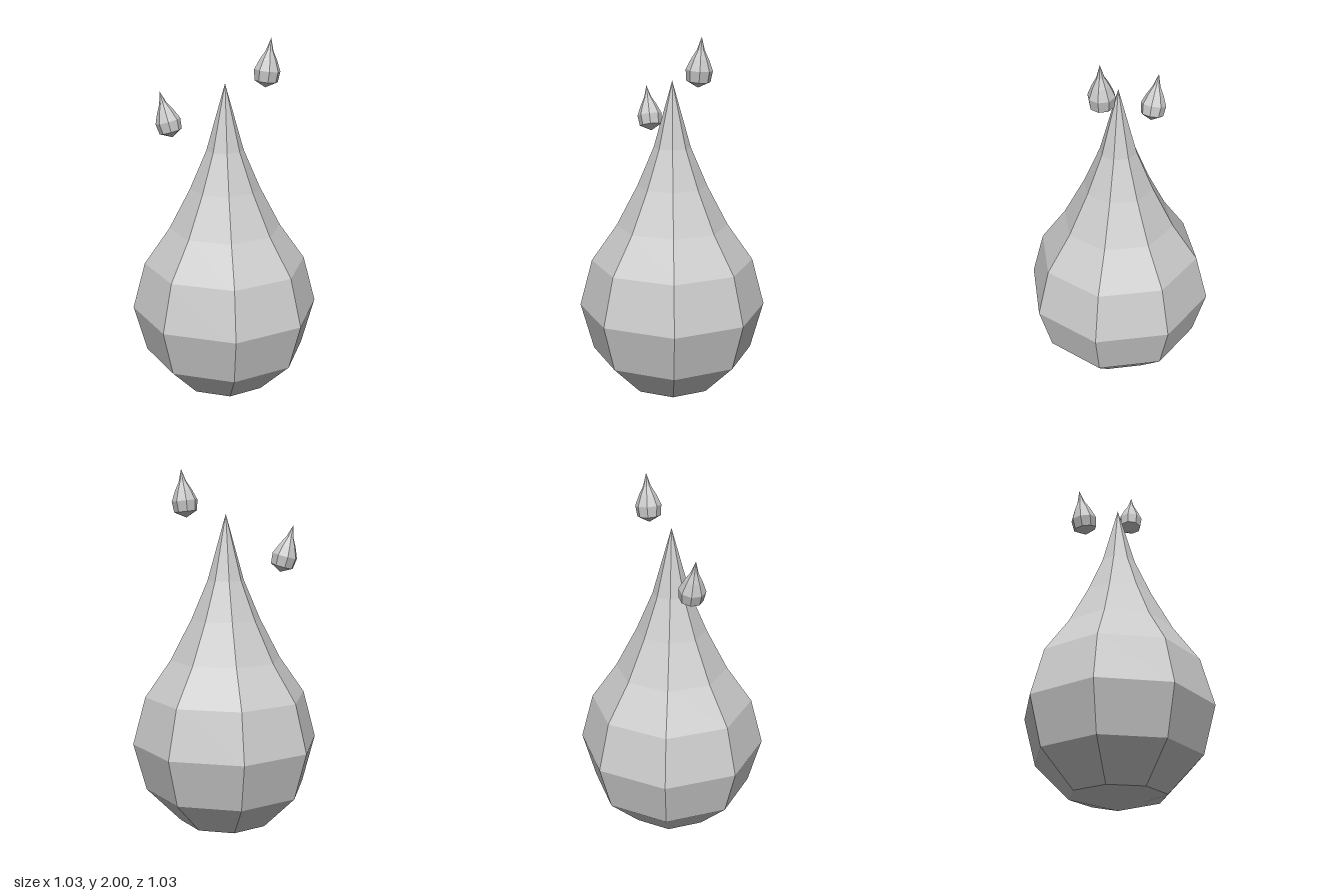
import * as THREE from 'three';

const material = new THREE.MeshStandardMaterial({ color: 0xcccccc, flatShading: true });

// Eight-sided drop turned from a profile of [radius, height], bottom to tip
function makeDrop(name, profile) {
  const points = profile.map(([r, y]) => new THREE.Vector2(r, y));
  const mesh = new THREE.Mesh(new THREE.LatheGeometry(points, 8), material);
  mesh.name = name;
  return mesh;
}

// Place a drop with its lowest point at base and its axis pointing to tip
function aim(mesh, base, tip) {
  const from = new THREE.Vector3(...base);
  const axis = new THREE.Vector3(...tip).sub(from).normalize();
  mesh.position.copy(from);
  mesh.quaternion.setFromUnitVectors(new THREE.Vector3(0, 1, 0), axis);
  return mesh;
}

export function createModel() {
  const model = new THREE.Group();
  model.name = 'waterDrops';

  // Large drop
  model.add(makeDrop('largeDrop', [
    [0, 0], [0.257, 0.07], [0.445, 0.26], [0.515, 0.52], [0.445, 0.78],
    [0.305, 0.98], [0.19, 1.2], [0.1, 1.41], [0, 1.765],
  ]));

  // Two small leaning droplets
  const small = [
    [0, 0], [0.062, 0.033], [0.069, 0.09], [0.045, 0.145], [0.02, 0.19], [0, 0.256],
  ];
  model.add(aim(makeDrop('upperDroplet', small), [0.127, 1.745, 0.167], [0.144, 2, 0.188]));
  model.add(aim(makeDrop('lowerDroplet', small), [-0.112, 1.46, -0.275], [-0.139, 1.705, -0.337]));

  return model;
}
